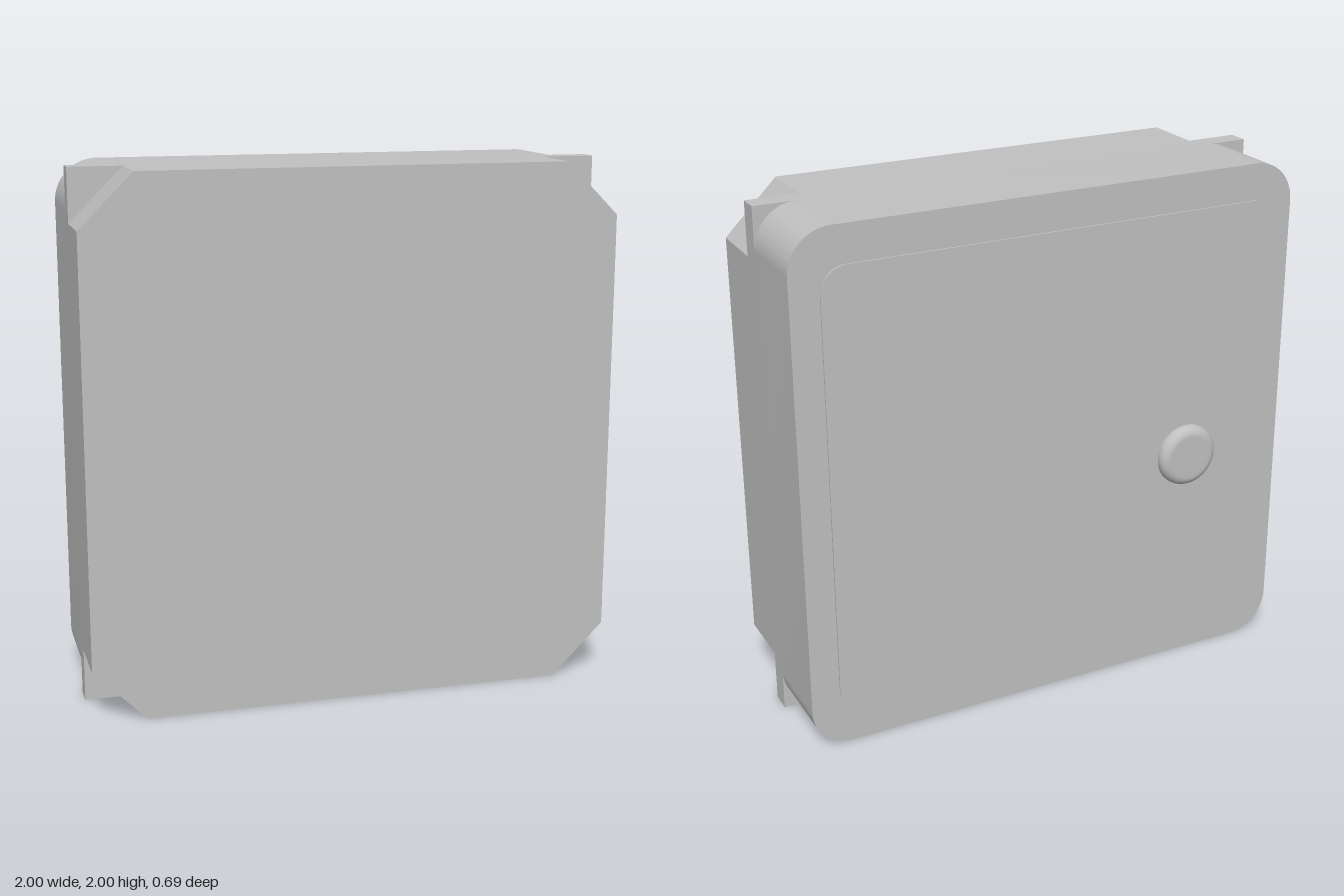
import * as THREE from 'three';
import { toCreasedNormals } from 'three/addons/utils/BufferGeometryUtils.js';

// Outline of a rectangle; corners run bottom right, top right, top left, bottom left.
// Each corner is { cut: size }, { round: radius } or {} for a sharp one.
function outline(x0, y0, x1, y1, corners) {
  const shape = new THREE.Shape();
  const points = [[x1, y0], [x1, y1], [x0, y1], [x0, y0]];
  const incoming = [[1, 0], [0, 1], [-1, 0], [0, -1]];
  points.forEach(([x, y], i) => {
    const c = corners[i], size = c.cut || c.round || 0;
    const d = incoming[i], e = incoming[(i + 1) % 4];
    const ax = x - d[0] * size, ay = y - d[1] * size;
    const bx = x + e[0] * size, by = y + e[1] * size;
    if (i === 0) shape.moveTo(ax, ay);
    else shape.lineTo(ax, ay);
    if (c.round) {
      const start = -Math.PI / 2 + i * Math.PI / 2;
      shape.absarc(ax + e[0] * size, ay + e[1] * size, size, start, start + Math.PI / 2, false);
    } else if (c.cut) shape.lineTo(bx, by);
  });
  shape.closePath();
  return shape;
}

export function createModel() {
  const group = new THREE.Group();
  const grey = new THREE.MeshStandardMaterial({ color: 0xc0c0c0 });
  grey.name = 'light grey';

  const add = (name, geometry) => {
    const mesh = new THREE.Mesh(geometry, grey);
    mesh.name = name;
    group.add(mesh);
    return mesh;
  };
  const slab = (name, shape, z0, z1) => {
    const g = new THREE.ExtrudeGeometry(shape, { depth: z1 - z0, bevelEnabled: false, curveSegments: 16 });
    g.translate(0, 0, z0);
    return add(name, toCreasedNormals(g, 0.5));
  };
  const all = (corner) => [corner, corner, corner, corner];

  // Housing: cut corners in front, square tabs in the middle, rounded at the back
  slab('frontHousing', outline(-1, 0, 1, 2, all({ cut: 0.2 })), 0.105, 0.345);
  slab('cornerTabs', outline(-1, 0, 1, 2, all({})), 0.025, 0.105);
  slab('backHousing', outline(-1, 0, 1, 2, all({ round: 0.16 })), -0.297, 0.025);

  // Thin raised panel with one cut corner beside the knob
  slab('backPanel', outline(-0.845, 0.14, 0.89, 1.86,
    [{ round: 0.1 }, { round: 0.1 }, {}, { cut: 0.2 }]), -0.304, -0.297);

  // Round knob with a softened rim
  const profile = [new THREE.Vector2(0.123, 0)];
  for (let i = 0; i <= 8; i++) {
    const a = (i / 8) * Math.PI / 2;
    profile.push(new THREE.Vector2(0.085 + 0.038 * Math.cos(a), 0.007 + 0.034 * Math.sin(a)));
  }
  profile.push(new THREE.Vector2(0, 0.041));
  const knob = new THREE.LatheGeometry(profile, 40);
  knob.rotateX(-Math.PI / 2);
  add('knob', knob).position.set(-0.573, 0.882, -0.304);

  return group;
}
